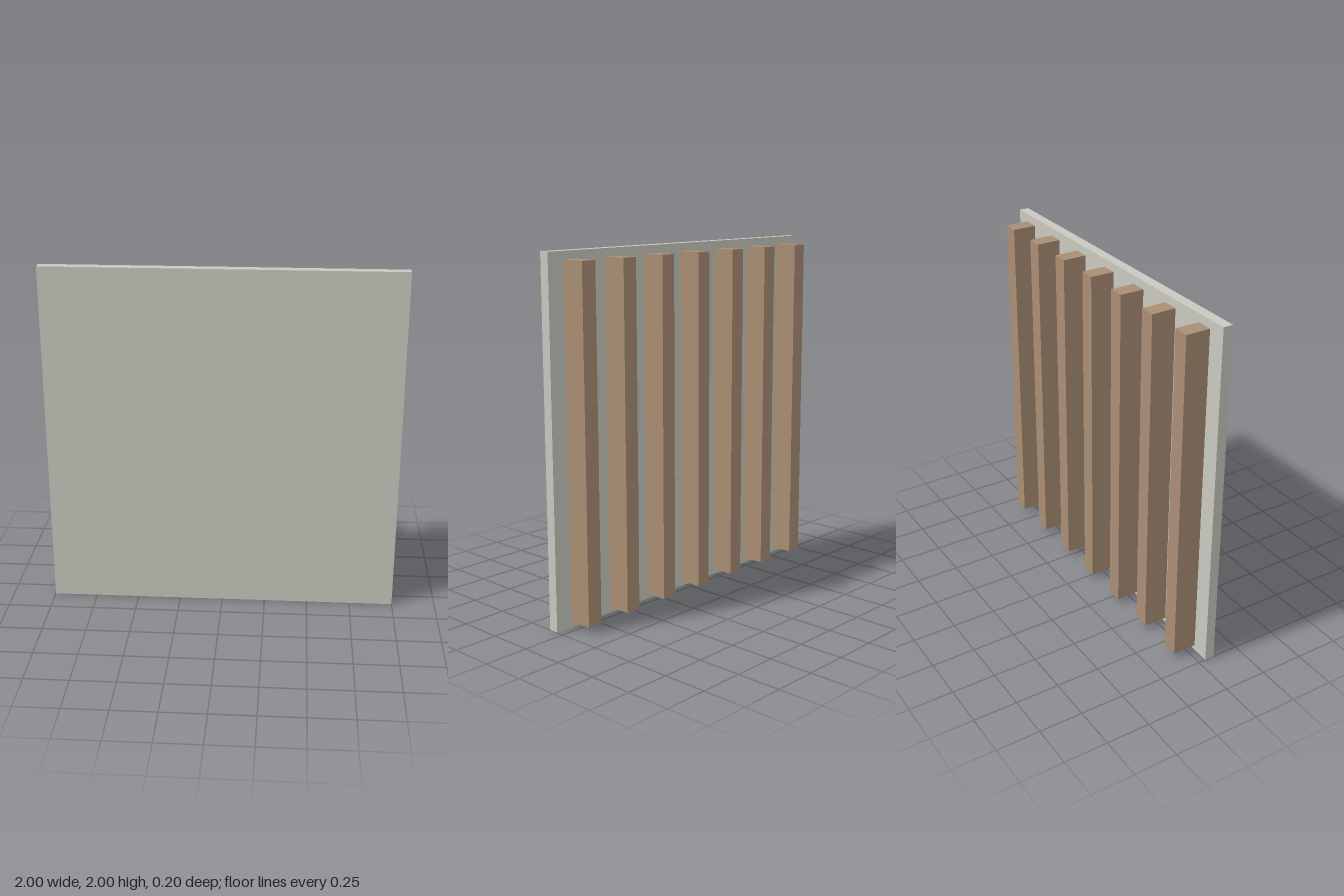
import * as THREE from 'three';

export function createModel() {
  const group = new THREE.Group();
  const panelMat = new THREE.MeshStandardMaterial({ color: 0xc9c9c0 });
  const woodMat = new THREE.MeshStandardMaterial({ color: 0xaa8e74 });

  const addBox = (name, size, position, material) => {
    const mesh = new THREE.Mesh(new THREE.BoxGeometry(...size), material);
    mesh.name = name;
    mesh.position.set(...position);
    group.add(mesh);
  };

  // Flat square board at the front
  addBox('panel', [2, 2, 0.056], [0, 1, 0.071], panelMat);

  // Seven evenly spaced upright battens behind it
  const count = 7;
  const spacing = 2 / count;
  for (let i = 0; i < count; i++) {
    const x = (i - (count - 1) / 2) * spacing;
    addBox(`batten${i + 1}`, [0.09, 1.92, 0.138], [x, 0.997, -0.03], woodMat);
  }

  return group;
}
